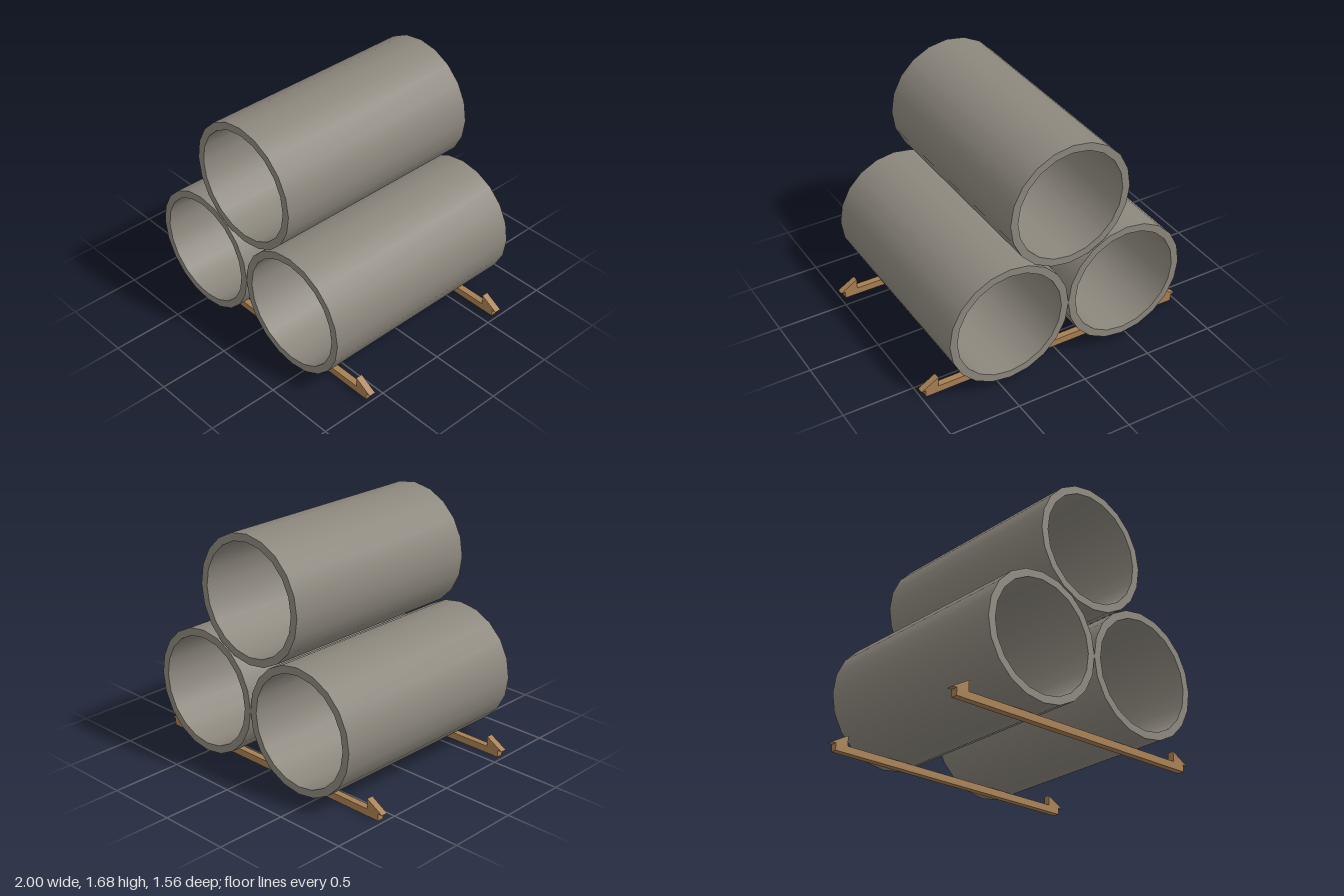
import * as THREE from 'three';
import { mergeGeometries } from 'three/addons/utils/BufferGeometryUtils.js';

const SIDES = 20, OUTER = 0.436, INNER = 0.383, HALF = 0.78;

// Hollow pipe along z: smooth walls, crisp end rims
function pipeGeometry() {
  const corners = [[OUTER, -HALF], [OUTER, HALF], [INNER, HALF], [INNER, -HALF]]
    .map(([r, y]) => new THREE.Vector2(r, y));
  const bands = corners.map((p, i) => new THREE.LatheGeometry([p, corners[(i + 1) % 4]], SIDES));
  return mergeGeometries(bands).rotateX(Math.PI / 2);
}

// Triangular chock on the model's left end of a beam
function chockGeometry(depth) {
  const shape = new THREE.Shape();
  shape.moveTo(0.875, 0.05);
  shape.lineTo(1, 0.05);
  shape.lineTo(0.875, 0.122);
  shape.closePath();
  return new THREE.ExtrudeGeometry(shape, { depth, bevelEnabled: false }).translate(0, 0, -depth / 2);
}

export function createModel() {
  const model = new THREE.Group();
  model.name = 'pipeStack';

  const concrete = new THREE.MeshStandardMaterial({ color: 0x8c877d });
  concrete.name = 'concrete';
  const wood = new THREE.MeshStandardMaterial({ color: 0xa87f52 });
  wood.name = 'wood';

  const add = (parent, name, geometry, material) => {
    const mesh = new THREE.Mesh(geometry, material);
    mesh.name = name;
    parent.add(mesh);
    return mesh;
  };

  // Three stacked pipes
  const pipe = pipeGeometry();
  add(model, 'leftPipe', pipe, concrete).position.set(OUTER, 0.486, 0);
  add(model, 'rightPipe', pipe, concrete).position.set(-OUTER, 0.486, 0);
  add(model, 'topPipe', pipe, concrete).position.set(0, 1.244, 0);

  // Two wooden bearers with a chock at each end
  const depth = 0.047;
  const beam = new THREE.BoxGeometry(1.935, 0.05, depth).translate(0, 0.025, 0);
  const chock = chockGeometry(depth);
  for (const [name, z] of [['frontBearer', 0.594], ['backBearer', -0.594]]) {
    const bearer = new THREE.Group();
    bearer.name = name;
    bearer.position.z = z;
    add(bearer, 'beam', beam, wood);
    add(bearer, 'leftChock', chock, wood);
    add(bearer, 'rightChock', chock, wood).rotation.y = Math.PI;
    model.add(bearer);
  }
  return model;
}
